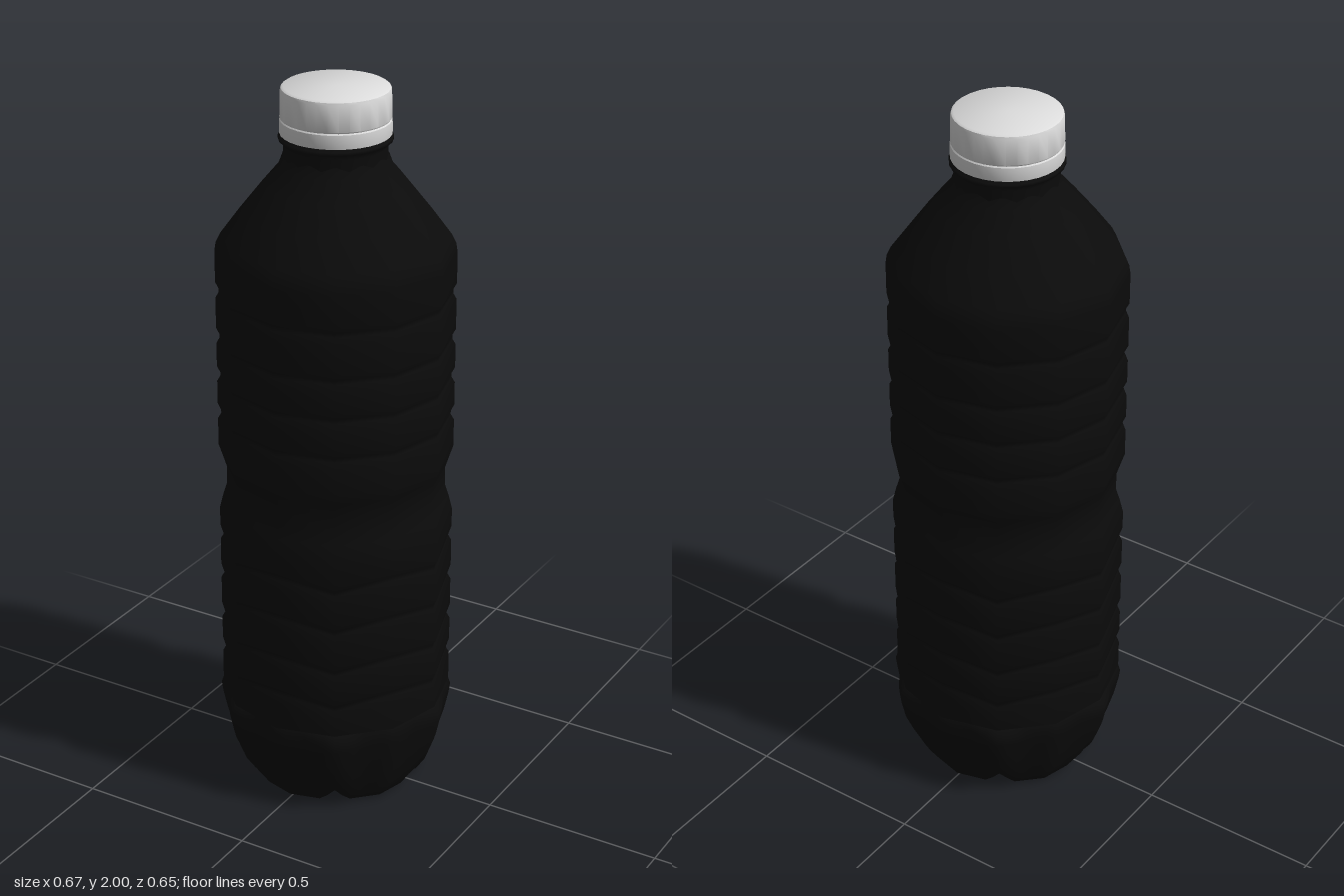
import * as THREE from 'three';
import { mergeVertices, toCreasedNormals } from 'three/addons/utils/BufferGeometryUtils.js';

const black = new THREE.MeshStandardMaterial({ color: 0x0b0b0b });
black.name = 'black plastic';
const white = new THREE.MeshStandardMaterial({ color: 0xdcdcdc });
white.name = 'white plastic';

// Lathe whose vertices may be moved by a rule: bend(radius, y, angle) -> [radius, y]
function turned(profile, segments, bend) {
  const geo = new THREE.LatheGeometry(profile.map(([r, y]) => new THREE.Vector2(r, y)), segments);
  geo.deleteAttribute('uv');
  geo.deleteAttribute('normal');
  const p = geo.attributes.position;
  if (bend) {
    for (let i = 0; i < p.count; i++) {
      const x = p.getX(i), z = p.getZ(i), a = Math.atan2(z, x);
      const [r, y] = bend(Math.hypot(x, z), p.getY(i), a);
      p.setXYZ(i, r * Math.cos(a), y, r * Math.sin(a));
    }
  }
  const merged = mergeVertices(geo, 1e-5);
  merged.computeVertexNormals();
  return merged;
}

function part(name, geo, mat) {
  const mesh = new THREE.Mesh(geo, mat);
  mesh.name = name;
  return mesh;
}

// A shallow groove pressed into a wall of radius r
const groove = (r, y) => [[r, y - 0.022], [r - 0.009, y - 0.006], [r - 0.009, y + 0.006], [r, y + 0.022]];

export function createModel() {
  const bottle = new THREE.Group();
  bottle.name = 'bottle';
  const R = 0.318;

  // Twelve-sided wall: zigzag grooves below the waist, level grooves above
  const wall = [
    [R, 0.26],
    ...[0.355, 0.465, 0.59, 0.71].flatMap(y => groove(R, y)),
    [R, 0.80], [0.308, 0.84], [0.297, 0.875], [0.297, 0.925], [0.308, 0.96], [R, 0.99],
    ...[1.09, 1.2, 1.31, 1.44].flatMap(y => groove(R, y)),
    [R, 1.55], [0.314, 1.575], [0.302, 1.6], [0.25, 1.67], [0.19, 1.745], [0.147, 1.795], [0.136, 1.825],
  ];
  bottle.add(part('body', turned(wall, 12, (r, y, a) => {
    const wave = y > 0.27 && y < 0.78 ? -0.014 * Math.cos(6 * a) : 0;
    return [r, y + wave];
  }), black));

  // Base with six feet parted by narrow radial channels
  const foot = [
    [0, 0.045], [0.06, 0.04], [0.13, 0.025], [0.19, 0.006], [0.225, 0], [0.25, 0.01], [0.272, 0.05],
    [0.29, 0.1], [0.308, 0.16], [0.32, 0.215], [0.324, 0.245], [R, 0.262],
  ];
  const side = Math.PI / 6;
  bottle.add(part('base', turned(foot, 72, (r, y, a) => {
    const off = a - Math.round(a / side) * side;
    const facet = Math.cos(side / 2) / Math.cos(side / 2 - Math.abs(off));
    const channel = Math.max(0, 1 - Math.abs(a - Math.round(a / (2 * side)) * 2 * side) / 0.15);
    const flare = y > 0.03 && y < 0.25 && r > 0.26 ? 0.011 * Math.max(0, Math.cos(6 * a)) : 0;
    const low = Math.max(0, 1 - y / 0.14);
    return [Math.max(0, r * facet + flare - (r > 0.2 ? 0.014 * channel * low : 0)),
      y + 0.028 * channel * low * Math.min(1, r / 0.12)];
  }), black));

  // Neck with the collar under the cap
  bottle.add(part('neck', turned([
    [0.136, 1.8], [0.135, 1.845], [0.139, 1.857], [0.149, 1.861], [0.149, 1.869], [0.136, 1.874], [0.13, 1.89],
  ], 24), black));

  // Screw cap and its tamper ring
  bottle.add(part('capRing', toCreasedNormals(turned([
    [0.125, 1.876], [0.145, 1.876], [0.146, 1.88], [0.145, 1.913], [0.142, 1.917],
  ], 32), 0.6), white));
  bottle.add(part('cap', toCreasedNormals(turned([
    [0.142, 1.916], [0.1445, 1.92], [0.143, 1.99], [0.141, 1.996], [0.135, 2], [0, 2],
  ], 32), 0.6), white));

  return bottle;
}
